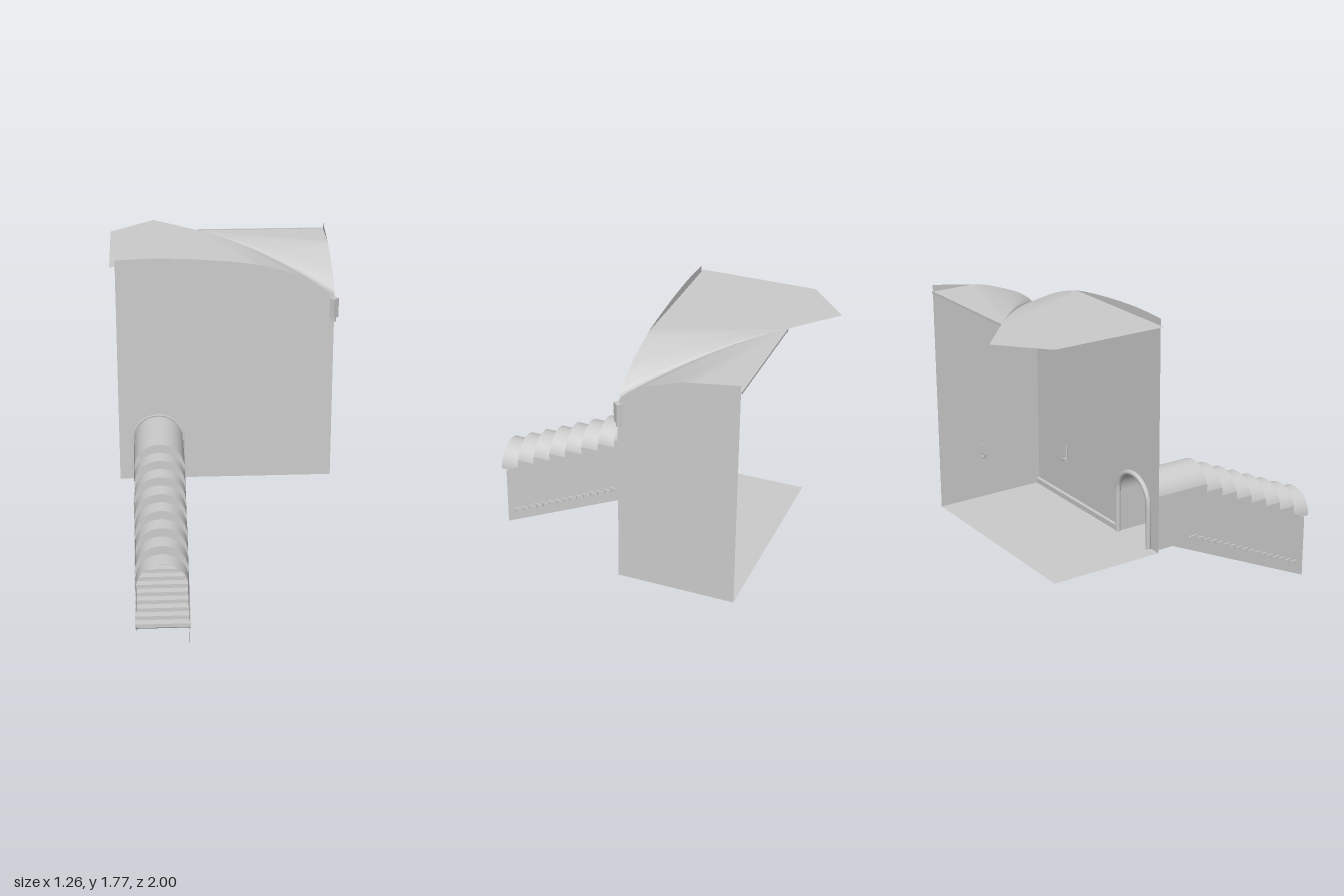
import * as THREE from 'three';

const mat = new THREE.MeshStandardMaterial({ color: 0xcccccc, side: THREE.DoubleSide });
const V2 = (x, y) => new THREE.Vector2(x, y);
const V3 = (x, y, z) => new THREE.Vector3(x, y, z);

// Main room and stair tunnel dimensions
const X = 0.603, FRONT = -0.125, BACK = -0.78, FLOOR = 0.46, ROOF = 1.73;
const TX = -0.379, R = 0.137, SPRING = 0.705;

export function createModel() {
  const model = new THREE.Group();
  const add = (name, geo, x = 0, y = 0, z = 0) => {
    const m = new THREE.Mesh(geo, mat);
    m.name = name;
    m.position.set(x, y, z);
    model.add(m);
    return m;
  };
  const box = (name, w, h, d, x, y, z) => add(name, new THREE.BoxGeometry(w, h, d), x, y, z);
  // Turns a (z, y) drawing into a sheet facing sideways
  const sideways = geo => geo.rotateY(-Math.PI / 2);

  // Curved top edges of the two walls, both dropping to the front corner
  const frontEdge = new THREE.SplineCurve([
    V2(-0.6, 1.767), V2(-0.38, 1.775), V2(-0.1, 1.762), V2(0.18, 1.73), V2(0.4, 1.665),
    V2(0.52, 1.6), V2(0.575, 1.55), V2(X, 1.46)]).getPoints(48);
  const sideEdge = new THREE.SplineCurve([
    V2(FRONT, 1.46), V2(-0.135, 1.54), V2(-0.16, 1.58), V2(-0.21, 1.62), V2(-0.29, 1.66),
    V2(-0.45, 1.715), V2(-0.56, 1.735), V2(BACK, 1.767)]).getPoints(40);

  // Front wall with the arched doorway cut from its foot
  const wall = new THREE.Shape();
  wall.moveTo(-0.6, FLOOR);
  wall.lineTo(TX - R, FLOOR);
  wall.lineTo(TX - R, SPRING);
  wall.absarc(TX, SPRING, R, Math.PI, 0, true);
  wall.lineTo(TX + R, FLOOR);
  wall.lineTo(X, FLOOR);
  [...frontEdge].reverse().forEach(p => wall.lineTo(p.x, p.y));
  add('frontWall', new THREE.ShapeGeometry(wall, 24), 0, 0, FRONT);

  // Side wall
  const side = new THREE.Shape([V2(BACK, FLOOR), V2(FRONT, FLOOR), ...sideEdge]);
  add('sideWall', sideways(new THREE.ShapeGeometry(side)), X);

  // Floor
  add('floor', new THREE.PlaneGeometry(X + 0.6, FRONT - BACK).rotateX(-Math.PI / 2),
    (X - 0.6) / 2, FLOOR, (FRONT + BACK) / 2);

  // Roof sheet: rays from the back notch, sagging towards the low corner
  const notch = V3(-0.125, ROOF, BACK);
  const rim = [
    V3(-0.38, ROOF, -1), V3(-0.63, ROOF, BACK), V3(-0.63, ROOF, FRONT),
    ...frontEdge.map(p => V3(p.x, Math.min(ROOF, p.y), FRONT)),
    ...sideEdge.slice(1).map(p => V3(X, Math.min(ROOF, p.y), p.x))];
  const roofPoint = (e, t) => V3(
    THREE.MathUtils.lerp(notch.x, e.x, t),
    ROOF - (ROOF - e.y) * t * t,
    THREE.MathUtils.lerp(notch.z, e.z, t));
  add('roof', grid(rim.map(e => Array.from({ length: 13 }, (_, j) => roofPoint(e, j / 12)))));

  // Drain pipe below the valley, and the lip along the back of the roof
  const corner = V3(X - 0.01, 1.46, FRONT - 0.01);
  const valley = Array.from({ length: 9 }, (_, j) => roofPoint(corner, j / 8).add(V3(0, -0.012, 0)));
  add('valleyPipe', new THREE.TubeGeometry(new THREE.CatmullRomCurve3(valley), 32, 0.009, 8));
  box('roofLip', X - notch.x, 0.012, 0.008, (X + notch.x) / 2, ROOF - 0.002, BACK - 0.002);

  // Rain head on the low corner
  box('rainHead', 0.04, 0.11, 0.04, 0.6, 1.475, -0.132).rotation.y = Math.PI / 4;
  add('rainSpout', new THREE.CylinderGeometry(0.016, 0.016, 0.03, 12), 0.6, 1.41, -0.132);

  // Skirting along the inside of the front wall
  const skirt = X - (TX + R + 0.02);
  box('skirting', skirt, 0.03, 0.02, X - skirt / 2, FLOOR + 0.015, FRONT - 0.01);

  // Arched door trim inside the room
  const trim = new THREE.CurvePath();
  const trimR = R + 0.006;
  const arch = Array.from({ length: 17 }, (_, i) => {
    const a = Math.PI * (1 - i / 16);
    return V3(TX + trimR * Math.cos(a), SPRING + trimR * Math.sin(a), FRONT - 0.012);
  });
  trim.add(new THREE.LineCurve3(V3(TX - trimR, FLOOR, FRONT - 0.012), arch[0]));
  trim.add(new THREE.CatmullRomCurve3(arch));
  trim.add(new THREE.LineCurve3(arch[16], V3(TX + trimR, FLOOR, FRONT - 0.012)));
  add('doorTrim', new THREE.TubeGeometry(trim, 64, 0.015, 8));

  // Small wall hooks
  const hook = (name, x, z, turn) => {
    const g = new THREE.Group();
    g.name = name;
    const bar = new THREE.Mesh(new THREE.CylinderGeometry(0.006, 0.006, 0.09, 8), mat);
    const prong = new THREE.Mesh(new THREE.TorusGeometry(0.02, 0.005, 6, 12, Math.PI), mat);
    bar.position.z = -0.008;
    prong.rotation.set(Math.PI, Math.PI / 2, 0);
    prong.position.set(0, -0.01, -0.026);
    g.add(bar, prong);
    g.position.set(x, 0.74, z);
    g.rotation.y = turn;
    model.add(g);
  };
  hook('frontWallHook', 0.29, FRONT, 0);
  hook('sideWallHook', X, -0.51, Math.PI / 2);

  // Stepped tunnel vault: the same arch swept forward and down in stages
  const stageZ = [FRONT, 0.26, 0.365, 0.47, 0.575, 0.68, 0.785, 0.89, 1.0];
  const stageTop = i => 0.842 - 0.0475 * i;
  const archRow = (z, top) => Array.from({ length: 25 }, (_, k) => {
    const a = Math.PI * k / 24;
    return V3(TX + R * Math.cos(a), top - R + R * Math.sin(a), z);
  });
  for (let i = 0; i < 8; i++) {
    add('tunnelVault', grid([archRow(stageZ[i], stageTop(i)), archRow(stageZ[i + 1], stageTop(i))]));
    if (i < 7) add('vaultRiser', grid([
      archRow(stageZ[i + 1], stageTop(i)), archRow(stageZ[i + 1], stageTop(i + 1))]));
  }

  // Tunnel side walls with a stepped top and sloping foot
  const outline = [V2(0.97, 0), V2(0.03, 0.43), V2(FRONT, 0.43)];
  for (let i = 0; i < 8; i++) {
    outline.push(V2(stageZ[i], stageTop(i) - 0.1), V2(Math.min(stageZ[i + 1], 0.97), stageTop(i) - 0.1));
  }
  outline[outline.length - 1].y = 0.365;
  for (const s of [-1, 1]) {
    add(s < 0 ? 'tunnelWallRight' : 'tunnelWallLeft',
      sideways(new THREE.ShapeGeometry(new THREE.Shape(outline))), TX + s * (R + 0.001));
  }

  // Zigzag stair, slightly wider than the tunnel, and the landing at its head
  const N = 17, run = 0.77 / N, rise = 0.37 / N, W = 0.292;
  const top = [V2(0.92, 0.09)];
  for (let i = 0; i < N; i++) {
    const y = 0.09 + rise * (i + 1);
    top.push(V2(0.92 - run * i, y), V2(0.92 - run * (i + 1), y));
  }
  const under = top.map(p => V2(p.x - 0.008, p.y - 0.008)).reverse();
  add('stairs', sideways(new THREE.ExtrudeGeometry(new THREE.Shape([...top, ...under]),
    { depth: W, bevelEnabled: false })), TX + W / 2);
  box('landing', 2 * R, 0.01, 0.15 - FRONT, TX, FLOOR - 0.005, (0.15 + FRONT) / 2);

  return model;
}

// Smooth sheet through rows of points
function grid(rows) {
  const n = rows[0].length, index = [];
  for (let i = 0; i < rows.length - 1; i++) {
    for (let j = 0; j < n - 1; j++) {
      const a = i * n + j, b = a + 1, c = a + n, d = c + 1;
      index.push(a, b, d, a, d, c);
    }
  }
  const geo = new THREE.BufferGeometry().setFromPoints(rows.flat());
  geo.setIndex(rows[0][1].z === rows[0][0].z && rows[0][0].z === rows[0][n - 1].z ? index.reverse() : index);
  geo.computeVertexNormals();
  return geo;
}
